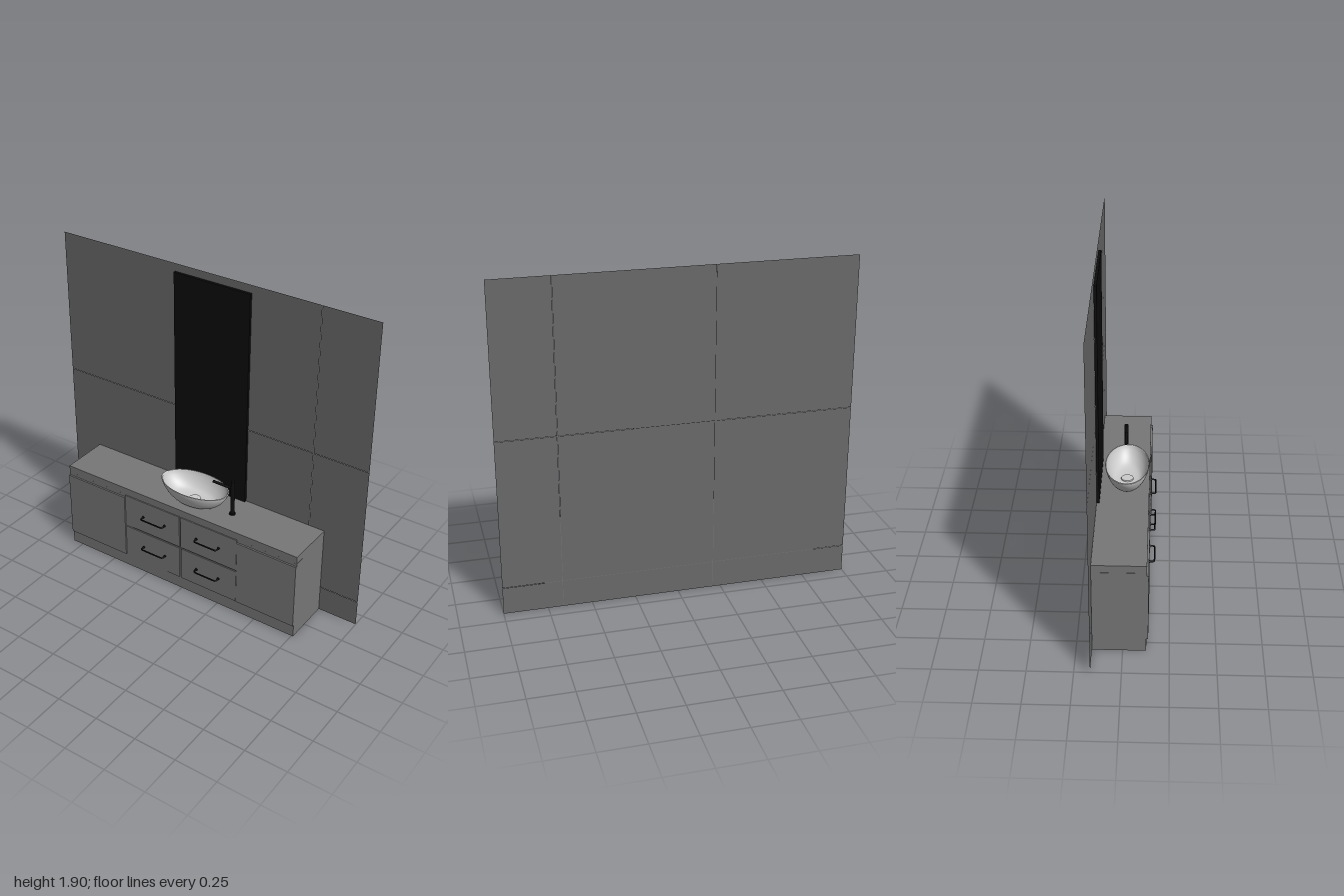
import * as THREE from 'three';

const material = (color, side = THREE.FrontSide) => new THREE.MeshStandardMaterial({ color, side });

export function createModel() {
  const model = new THREE.Group();
  const wallMat = material(0x6a6a6a, THREE.DoubleSide);
  const cabinetMat = material(0x777777);
  const blackMat = material(0x0d0d0d);
  const ceramicMat = material(0xcccccc, THREE.DoubleSide);

  const add = (name, geometry, mat, parent = model) => {
    const mesh = new THREE.Mesh(geometry, mat);
    mesh.name = name;
    parent.add(mesh);
    return mesh;
  };
  // Box given by its limits on each axis
  const block = (name, [x0, x1], [y0, y1], [z0, z1], mat, parent) =>
    add(name, new THREE.BoxGeometry(x1 - x0, y1 - y0, z1 - z0), mat, parent)
      .position.set((x0 + x1) / 2, (y0 + y1) / 2, (z0 + z1) / 2);

  // Tiled wall with hairline joints
  const wall = new THREE.Group();
  wall.name = 'wall';
  model.add(wall);
  const columns = [-1, -0.205, 0.664, 1], rows = [0, 0.16, 1.03, 1.905], joint = 0.001;
  for (let i = 0; i < 3; i++) for (let j = 0; j < 3; j++) {
    const x0 = columns[i] + (i ? joint : 0), x1 = columns[i + 1] - (i < 2 ? joint : 0);
    const y0 = rows[j] + (j ? joint : 0), y1 = rows[j + 1] - (j < 2 ? joint : 0);
    add('wallTile', new THREE.PlaneGeometry(x1 - x0, y1 - y0), wallMat, wall)
      .position.set((x0 + x1) / 2, (y0 + y1) / 2, -0.165);
  }

  // Cabinet body, worktop and side doors
  const cabinet = new THREE.Group();
  cabinet.name = 'cabinet';
  model.add(cabinet);
  block('carcass', [-0.817, 0.76], [0, 0.51], [-0.164, 0.126], cabinetMat, cabinet);
  block('worktop', [-0.817, 0.76], [0.511, 0.555], [-0.164, 0.127], cabinetMat, cabinet);
  block('leftDoor', [0.381, 0.76], [0.08, 0.492], [0.126, 0.136], cabinetMat, cabinet);
  block('rightDoor', [-0.817, -0.401], [0.08, 0.492], [0.126, 0.136], cabinetMat, cabinet);

  // Curved pull handle with round feet, centred on x = 0
  const corner = new THREE.CurvePath();
  const v = (x, z) => new THREE.Vector3(x, 0, z);
  const half = 0.076, reach = 0.03, r = 0.012;
  corner.add(new THREE.LineCurve3(v(-half, 0), v(-half, reach - r)));
  corner.add(new THREE.QuadraticBezierCurve3(v(-half, reach - r), v(-half, reach), v(r - half, reach)));
  corner.add(new THREE.LineCurve3(v(r - half, reach), v(half - r, reach)));
  corner.add(new THREE.QuadraticBezierCurve3(v(half - r, reach), v(half, reach), v(half, reach - r)));
  corner.add(new THREE.LineCurve3(v(half, reach - r), v(half, 0)));
  const handleGeometry = new THREE.TubeGeometry(corner, 48, 0.0045, 10);
  const footGeometry = new THREE.CylinderGeometry(0.008, 0.008, 0.005, 16).rotateX(Math.PI / 2);

  // Four drawers with handles
  for (const [x0, x1, hx] of [[-0.397, -0.012, -0.192], [-0.002, 0.377, 0.183]]) {
    for (const [y0, y1, hy] of [[0.078, 0.289, 0.187], [0.298, 0.508, 0.404]]) {
      block('drawerFront', [x0, x1], [y0, y1], [0.126, 0.132], cabinetMat, cabinet);
      const handle = new THREE.Group();
      handle.name = 'drawerHandle';
      handle.position.set(hx, hy, 0.132);
      cabinet.add(handle);
      add('handleBar', handleGeometry, blackMat, handle);
      for (const s of [-1, 1]) add('handleFoot', footGeometry, blackMat, handle).position.set(s * half, 0, 0.0025);
    }
  }

  // Tall mirror
  block('mirror', [-0.235, 0.25], [0.556, 1.86], [-0.163, -0.148], blackMat);

  // Oval basin: one closed profile, outside up and inside down
  const basin = new THREE.Group();
  basin.name = 'basin';
  basin.position.set(0.006, 0.555, 0);
  model.add(basin);
  const wallCurve = (points) => new THREE.SplineCurve(points.map(p => new THREE.Vector2(...p))).getPoints(20);
  const outer = wallCurve([[0.48, 0.001], [0.64, 0.012], [0.82, 0.045], [0.95, 0.085], [1, 0.112]]);
  const inner = wallCurve([[0.965, 0.112], [0.91, 0.085], [0.78, 0.05], [0.58, 0.021], [0.3, 0.012], [0, 0.011]]);
  const shell = add('basinShell', new THREE.LatheGeometry(
    [new THREE.Vector2(0, 0.001), ...outer, ...inner], 64), ceramicMat, basin);
  shell.scale.set(0.217, 1, 0.126);
  add('drain', new THREE.CylinderGeometry(0.034, 0.036, 0.006, 40), ceramicMat, basin).position.y = 0.016;

  // Tall tap with a level spout
  const tap = new THREE.Group();
  tap.name = 'tap';
  tap.position.set(0.254, 0.555, -0.012);
  model.add(tap);
  add('tapBase', new THREE.CylinderGeometry(0.018, 0.018, 0.008, 32), blackMat, tap).position.y = 0.004;
  add('tapPost', new THREE.CylinderGeometry(0.012, 0.012, 0.223, 32), blackMat, tap).position.y = 0.1115;
  const spout = add('tapSpout', new THREE.CylinderGeometry(0.008, 0.008, 0.13, 24), blackMat, tap);
  spout.rotation.z = Math.PI / 2;
  spout.position.set(-0.065, 0.172, 0);

  return model;
}
